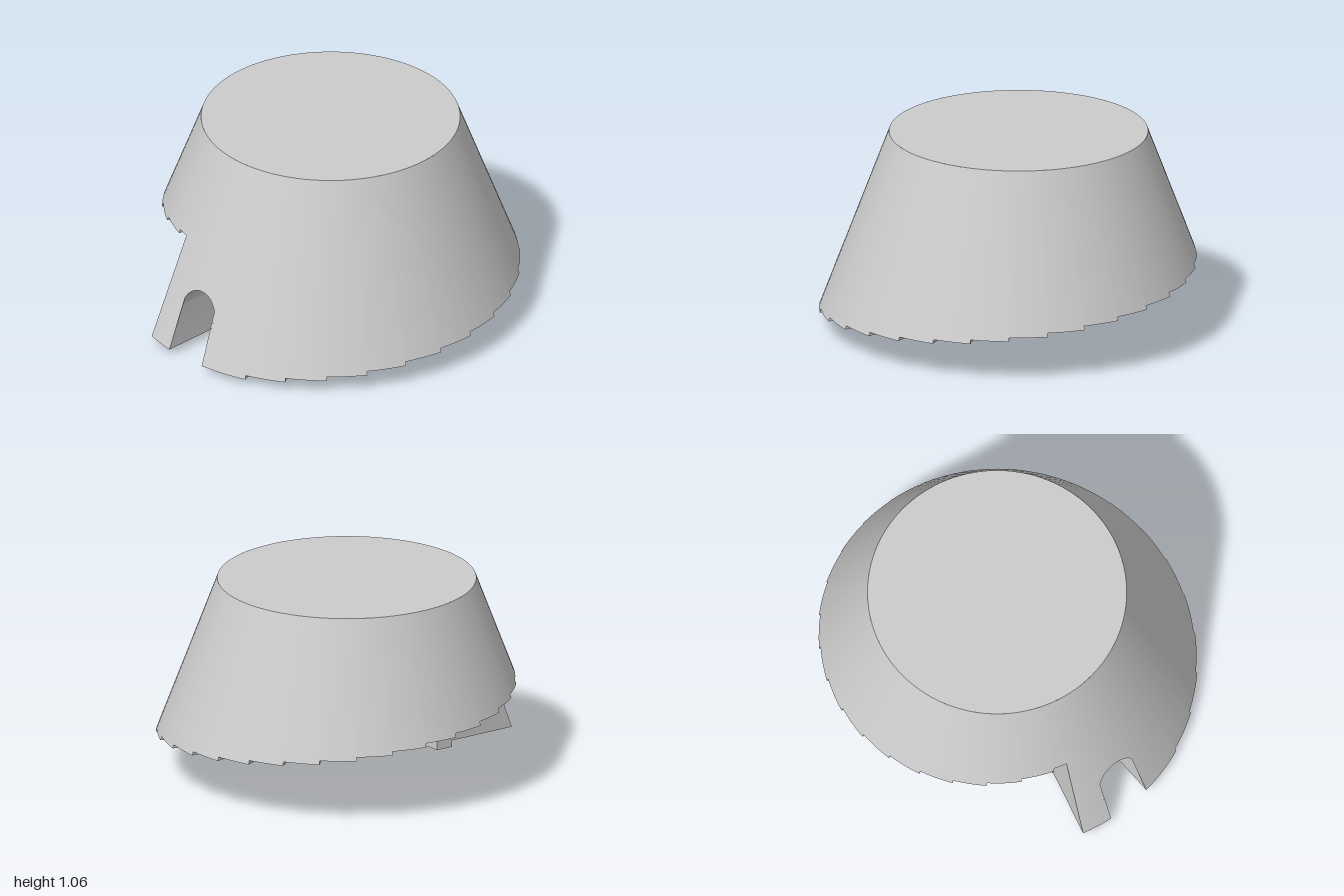
import * as THREE from 'three';
import { toCreasedNormals } from 'three/addons/utils/BufferGeometryUtils.js';

const TOP = 1.06, BASE = 0.035, WALL = 0.39;
const START = -15.6, FIRST_RISER = 21, TREAD = 11.8, RISERS = 28;
const RISE = (0.58 - BASE) / RISERS;
const DOOR_HALF = 0.12, DOOR_SPRING = 0.26;
const rad = THREE.MathUtils.degToRad;
const outerR = (y) => 0.672 + 0.375 * (TOP - y);
const innerR = (y) => outerR(y) - WALL;
const polar = (r, a, y) => [r * Math.sin(a), y, r * Math.cos(a)];

// Lower edge of the wall, once round: outer angle, inner angle and height
function lowerEdge() {
  const edge = [];
  const run = (from, to, y, toInner = to, fromInner = from) => {
    const n = Math.max(1, Math.ceil(Math.abs(to - from) / rad(3)));
    for (let i = 0; i <= n; i++) {
      const t = i / n;
      edge.push({ o: from + (to - from) * t, i: fromInner + (toInner - fromInner) * t, y });
    }
  };
  const atX = (x, y) => ({ o: Math.asin(x / outerR(y)), i: Math.asin(x / innerR(y)), y });

  // Doorway with upright jambs and a round arch
  const left = atX(-DOOR_HALF, BASE), right = atX(DOOR_HALF, BASE);
  run(rad(START), left.o, BASE, left.i);
  for (let k = 0; k <= 20; k++) {
    const a = Math.PI * (1 - k / 20);
    edge.push(atX(DOOR_HALF * Math.cos(a), DOOR_SPRING + DOOR_HALF * Math.sin(a)));
  }
  run(right.o, rad(FIRST_RISER), BASE, rad(FIRST_RISER), right.i);

  // Stepped underside climbing round the wall
  for (let k = 0; k < RISERS; k++) {
    const from = FIRST_RISER + TREAD * k;
    const to = k === RISERS - 1 ? 360 + START : from + TREAD;
    run(rad(from), rad(to), BASE + RISE * (k + 1));
  }
  return edge;
}

function wallGeometry() {
  const edge = lowerEdge(), pos = [];
  const quad = (a, b, c, d) => pos.push(...a, ...b, ...c, ...a, ...c, ...d);
  edge.forEach((a, n) => {
    const last = n === edge.length - 1;
    const b = edge[(n + 1) % edge.length];
    const oA = polar(outerR(a.y), a.o, a.y), oB = polar(outerR(b.y), b.o, b.y);
    const iA = polar(innerR(a.y), a.i, a.y), iB = polar(innerR(b.y), b.i, b.y);
    // treads, risers, jambs and the upright end of the spiral
    if (last || Math.abs(a.o - b.o) + Math.abs(a.y - b.y) > 1e-6) quad(oA, iA, iB, oB);
    if (last) return;
    // outer and inner cone
    if (Math.abs(a.o - b.o) > 1e-6)
      quad(oA, oB, polar(outerR(TOP), b.o, TOP), polar(outerR(TOP), a.o, TOP));
    if (Math.abs(a.i - b.i) > 1e-6)
      quad(iB, iA, polar(innerR(TOP), a.i, TOP), polar(innerR(TOP), b.i, TOP));
  });
  const g = new THREE.BufferGeometry();
  g.setAttribute('position', new THREE.Float32BufferAttribute(pos, 3));
  return toCreasedNormals(g, rad(25));
}

// Curved block facing the front, from y0 to y1
function arcBlock(r0, r1, halfAngle, y0, y1) {
  const s = new THREE.Shape(), m = -Math.PI / 2;
  s.absarc(0, 0, r1, m - halfAngle, m + halfAngle, false);
  s.absarc(0, 0, r0, m + halfAngle, m - halfAngle, true);
  const g = new THREE.ExtrudeGeometry(s, { depth: y1 - y0, bevelEnabled: false, curveSegments: 16 });
  g.rotateX(-Math.PI / 2);
  g.translate(0, y0, 0);
  return toCreasedNormals(g, rad(25));
}

export function createModel() {
  const model = new THREE.Group();
  model.name = 'spiralTower';
  const stone = new THREE.MeshStandardMaterial({ color: 0xcccccc, side: THREE.DoubleSide });
  stone.name = 'light grey stone';

  const add = (name, geometry) => {
    const mesh = new THREE.Mesh(geometry, stone);
    mesh.name = name;
    model.add(mesh);
    return mesh;
  };

  add('steppedWall', wallGeometry());

  // Flat roof closing the cone
  const roof = add('roof', new THREE.CircleGeometry(outerR(TOP), 120));
  roof.rotation.x = -Math.PI / 2;
  roof.position.y = TOP;

  // Curved sill and lintel on the inner side of the doorway
  add('doorSill', arcBlock(0.58, 0.675, rad(15.5), 0, 0.12));
  add('doorLintel', arcBlock(0.555, 0.675, rad(15.5), 0.32, 0.44));

  model.position.set(-0.06, 0, -0.055);
  const root = new THREE.Group();
  root.name = 'model';
  root.add(model);
  return root;
}
